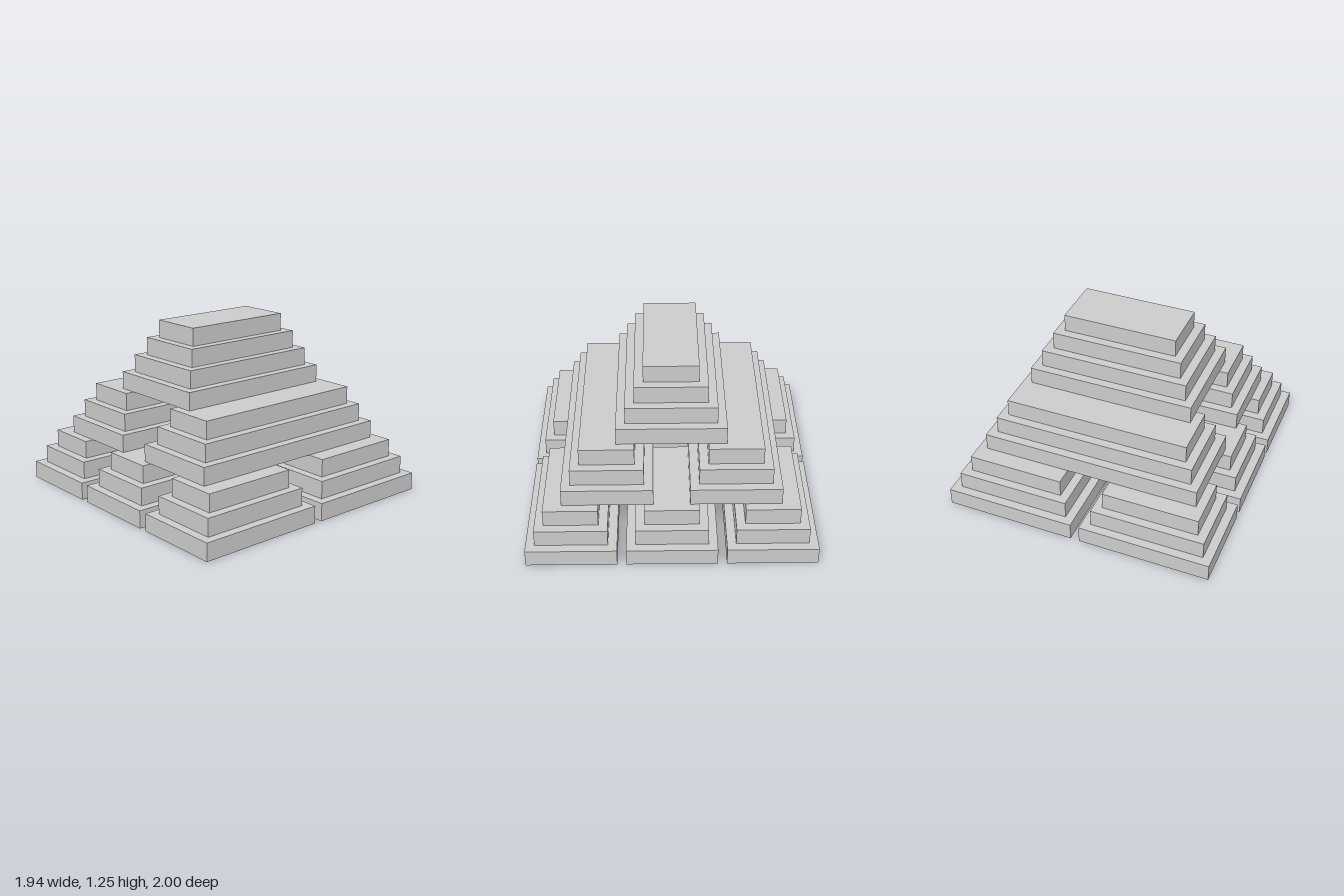
import * as THREE from 'three';

const STEP = 0.125; // height of a slab, and how much each slab shrinks in width and depth

export function createModel() {
  const model = new THREE.Group();
  model.name = 'steppedPyramid';
  const material = new THREE.MeshStandardMaterial({ color: 0xcccccc });

  // A stepped mound: slabs stacked upward, each smaller than the one below
  function addMound(name, width, depth, steps, x, y, z) {
    const mound = new THREE.Group();
    mound.name = name;
    mound.position.set(x, y, z);
    for (let i = 0; i < steps; i++) {
      const slab = new THREE.Mesh(
        new THREE.BoxGeometry(width - i * STEP, STEP, depth - i * STEP), material);
      slab.name = 'slab';
      slab.position.y = (i + 0.5) * STEP;
      mound.add(slab);
    }
    model.add(mound);
  }

  // Bottom tier: two columns by three rows
  for (const x of [-0.5, 0.5])
    for (const z of [-0.6875, 0, 0.6875])
      addMound('baseMound', 0.9375, 0.625, 3, x, 0, z);

  // Middle tier: two long mounds bridging the rows
  for (const z of [-0.4375, 0.4375])
    addMound('middleMound', 1.5625, 0.625, 3, 0, 3 * STEP, z);

  // Top tier: one mound across both
  addMound('topMound', 1.1875, 0.75, 4, 0, 6 * STEP, 0);

  return model;
}
